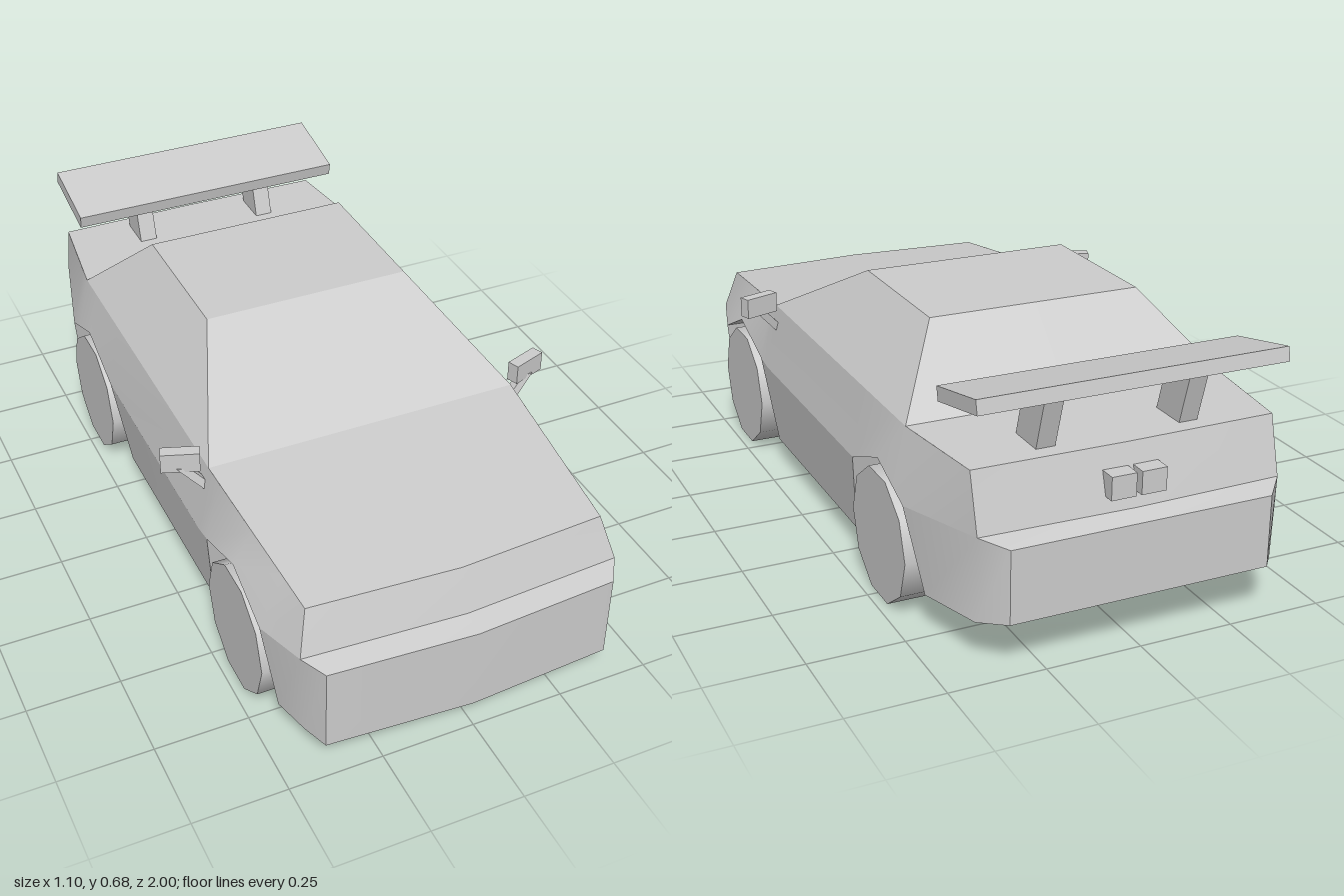
import * as THREE from 'three';
import { toCreasedNormals } from 'three/addons/utils/BufferGeometryUtils.js';

const material = new THREE.MeshStandardMaterial({ color: 0xcccccc, side: THREE.DoubleSide });

// Surface between two polylines of equal length
function strip(a, b) {
  const pos = [];
  for (let i = 0; i < a.length - 1; i++) {
    pos.push(...a[i], ...a[i + 1], ...b[i + 1], ...a[i], ...b[i + 1], ...b[i]);
  }
  const g = new THREE.BufferGeometry();
  g.setAttribute('position', new THREE.Float32BufferAttribute(pos, 3));
  return toCreasedNormals(g, 0.6);
}

const flip = (line) => line.map(([x, y, z]) => [-x, y, z]);
const atX = (line, x) => line.map(([, y, z]) => [x, y, z]);

export function createModel() {
  const car = new THREE.Group();
  const add = (name, geometry) => {
    const mesh = new THREE.Mesh(geometry, material);
    mesh.name = name;
    car.add(mesh);
    return mesh;
  };
  const bothSides = (name, a, b) => {
    add(name + 'Left', strip(a, b));
    add(name + 'Right', strip(flip(b), flip(a)));
  };

  // Full-width panels: name, then half width, height, z at corner, z at centre of the edge
  const edges = [
    ['frontBumper', 0.39, 0.075, 0.97, 0.995],
    ['frontBumperLedge', 0.39, 0.31, 0.97, 0.995],
    ['nose', 0.43, 0.325, 0.91, 0.935],
    ['hood', 0.40, 0.44, 0.87, 0.895],
    ['windshield', 0.435, 0.495, 0.36, 0.36],
    ['roof', 0.29, 0.685, 0, 0],
    ['rearWindow', 0.29, 0.685, -0.42, -0.42],
    ['rearDeck', 0.435, 0.495, -0.61, -0.61],
    ['tailPanel', 0.40, 0.495, -0.90, -0.905],
    ['rearBumperLedge', 0.40, 0.345, -0.94, -0.95],
    ['rearBumper', 0.345, 0.33, -1, -1],
    ['end', 0.345, 0.14, -1, -1],
  ];
  const row = ([, x, y, z, zc]) => [[-x, y, z], [0, y, zc], [x, y, z]];
  for (let i = 0; i < edges.length - 1; i++) {
    add(edges[i][0], strip(row(edges[i]), row(edges[i + 1])));
  }

  // Cabin sides
  bothSides('cabinSide',
    [[0.435, 0.495, 0.36], [0.435, 0.495, -0.61]],
    [[0.29, 0.685, 0], [0.29, 0.685, -0.42]]);

  // Body sides above the waist, rising over the wheel arches
  bothSides('upperSide', [
    [0.43, 0.325, 0.91], [0.47, 0.31, 0.76], [0.47, 0.38, 0.60], [0.47, 0.32, 0.42],
    [0.47, 0.31, 0.36], [0.47, 0.31, -0.335], [0.47, 0.38, -0.51], [0.47, 0.3425, -0.61],
    [0.47, 0.32, -0.67], [0.40, 0.345, -0.94],
  ], [
    [0.40, 0.44, 0.87], [0.4075, 0.452, 0.76], [0.4185, 0.469, 0.60], [0.431, 0.4885, 0.42],
    [0.435, 0.495, 0.36], [0.435, 0.495, -0.335], [0.435, 0.495, -0.51], [0.435, 0.495, -0.61],
    [0.428, 0.495, -0.67], [0.40, 0.495, -0.90],
  ]);

  // Lower sides between the arches, each with the floor below it
  const lower = [
    ['frontFender',
      [[0.39, 0.075, 0.97], [0.415, 0.075, 0.90], [0.44, 0.075, 0.80]],
      [[0.39, 0.31, 0.97], [0.43, 0.325, 0.91], [0.47, 0.31, 0.76]]],
    ['doorSill',
      [[0.44, 0.075, 0.37], [0.44, 0.075, 0.36], [0.44, 0.075, -0.27]],
      [[0.47, 0.32, 0.42], [0.47, 0.31, 0.36], [0.47, 0.31, -0.335]]],
    ['rearFender',
      [[0.44, 0.105, -0.73], [0.40, 0.125, -0.93], [0.345, 0.14, -1]],
      [[0.47, 0.32, -0.67], [0.40, 0.345, -0.94], [0.345, 0.33, -1]]],
  ];
  const inner = 0.33;
  for (const [name, bottom, top] of lower) {
    bothSides(name, bottom, top);
    bothSides(name + 'Floor', atX(bottom, inner), bottom);
  }

  // Central floor, rising toward the rear
  const floor = [[-1, 0.14], [-0.93, 0.125], [-0.73, 0.105], [-0.27, 0.075], [0.97, 0.075]];
  for (let i = 0; i < floor.length - 1; i++) {
    const line = ([z, y]) => [[-inner, y, z], [0, y, z === 0.97 ? 0.995 : z], [inner, y, z]];
    add('floor', strip(line(floor[i]), line(floor[i + 1])));
  }

  // Wheel wells
  const arches = [
    [[0.44, 0.075, 0.80], [0.47, 0.31, 0.76], [0.47, 0.38, 0.60], [0.47, 0.32, 0.42], [0.44, 0.075, 0.37]],
    [[0.44, 0.075, -0.27], [0.47, 0.31, -0.335], [0.47, 0.38, -0.51], [0.47, 0.32, -0.67], [0.44, 0.105, -0.73]],
  ];
  for (const arch of arches) {
    const wall = atX(arch, inner);
    bothSides('wheelWell', wall, arch);
    bothSides('wheelWellWall',
      [wall[0], [inner, (wall[0][1] + wall[4][1]) / 2, wall[2][2]], wall[4]], wall.slice(1, 4));
  }

  // Ten-sided wheels
  for (const side of [1, -1]) {
    for (const [name, z] of [['frontWheel', 0.60], ['rearWheel', -0.51]]) {
      const wheel = new THREE.CylinderGeometry(0.175, 0.175, 0.126, 10).rotateZ(Math.PI / 2);
      add(name, wheel).position.set(side * 0.409, 0.17, z);
    }

    // Door mirror on a slanted stalk
    const mirror = add('doorMirror', new THREE.BoxGeometry(0.1, 0.055, 0.033));
    mirror.position.set(side * 0.497, 0.517, 0.325);
    mirror.rotation.y = side * 0.34;
    const stalk = new THREE.BoxGeometry(0.028, 0.07, 0.025)
      .applyMatrix4(new THREE.Matrix4().makeShear(0, 0, side * 0.9, -0.2, 0, 0));
    stalk.applyMatrix4(new THREE.Matrix4().makeShear(0, 0, 0, 0, 0, 0));
    add('mirrorStalk', stalk).position.set(side * 0.466, 0.465, 0.337);

    // Raked spoiler support
    const support = new THREE.BoxGeometry(0.05, 0.14, 0.105)
      .applyMatrix4(new THREE.Matrix4().makeShear(0, 0, 0, -0.3, 0, 0));
    add('spoilerSupport', support).position.set(side * 0.19, 0.56, -0.825);

    // Small block on the tail panel
    add('tailBlock', new THREE.BoxGeometry(0.066, 0.06, 0.05)).position.set(side * 0.04, 0.412, -0.94);
  }

  // Spoiler wing
  const wing = add('spoilerWing', new THREE.BoxGeometry(0.81, 0.037, 0.22));
  wing.position.set(0, 0.64, -0.838);
  wing.rotation.x = 0.206;

  return car;
}
